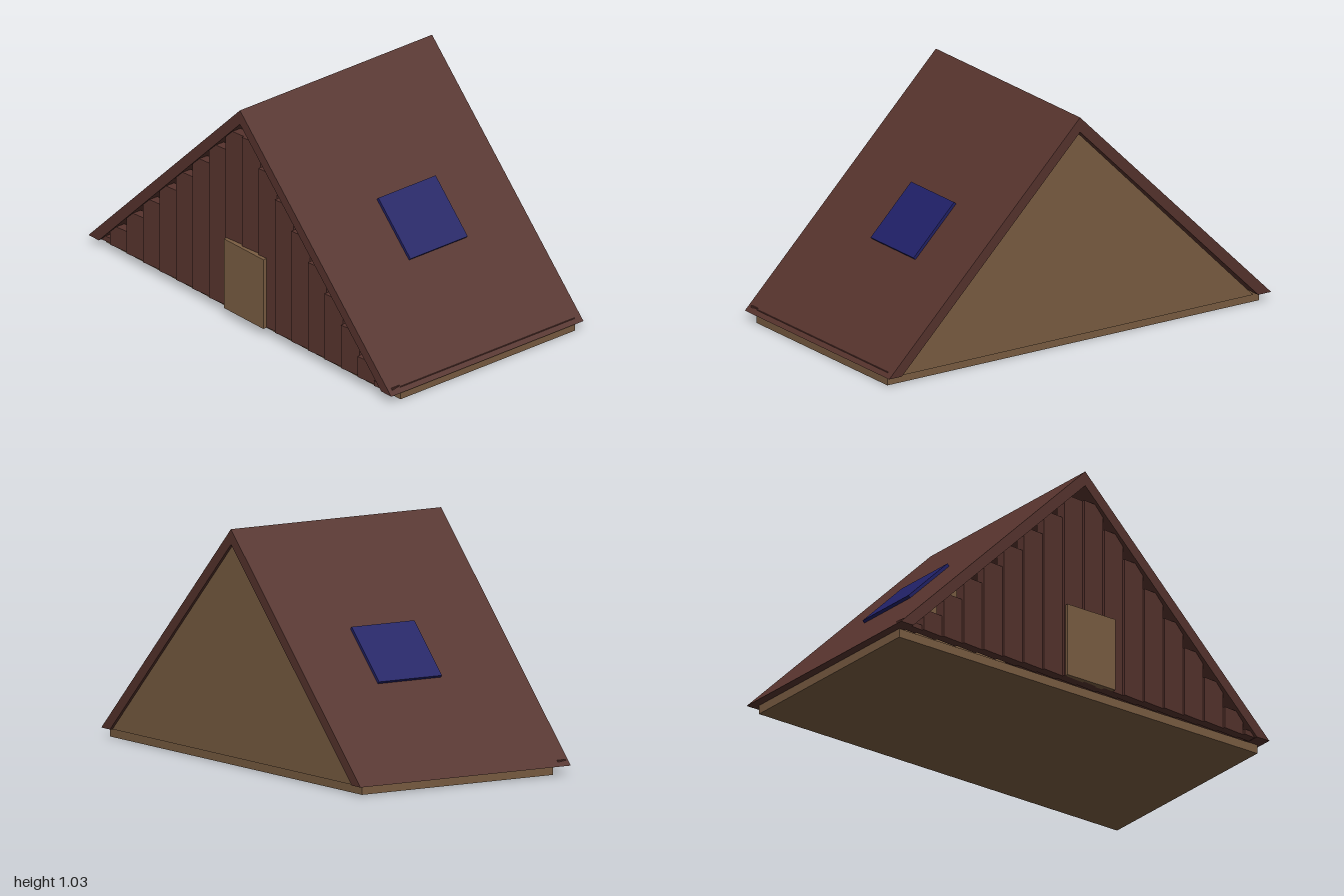
import * as THREE from 'three';

const mat = (color) => new THREE.MeshStandardMaterial({ color, flatShading: true });

export function createModel() {
  const model = new THREE.Group();
  const roofMat = mat(0x56332d);
  const woodMat = mat(0x7a5d42);
  const glassMat = mat(0x202066);

  const add = (name, geometry, material) => {
    const mesh = new THREE.Mesh(geometry, material);
    mesh.name = name;
    model.add(mesh);
    return mesh;
  };
  // box given by its minimum and maximum corners
  const box = (name, material, [x0, y0, z0], [x1, y1, z1]) => {
    const mesh = add(name, new THREE.BoxGeometry(x1 - x0, y1 - y0, z1 - z0), material);
    mesh.position.set((x0 + x1) / 2, (y0 + y1) / 2, (z0 + z1) / 2);
    return mesh;
  };
  // outline in (z, y), extruded along x from x0 to x1
  const prism = (name, material, outline, x0, x1) => {
    const shape = new THREE.Shape(outline.map(([z, y]) => new THREE.Vector2(-z, y)));
    const geometry = new THREE.ExtrudeGeometry(shape, { depth: x1 - x0, bevelEnabled: false });
    geometry.rotateY(Math.PI / 2).translate(x0, 0, 0);
    return add(name, geometry, material);
  };

  // floor slab and the trim above its front edge
  box('floor', woodMat, [-0.48, 0, -0.96], [0.51, 0.04, 0.985]);
  box('frontTrim', roofMat, [-0.48, 0.041, 0.93], [0.51, 0.06, 0.983]);

  // two roof slopes meeting at the ridge, cut level at the eaves
  prism('roof', roofMat,
    [[1, 0.04], [0, 1.035], [-1, 0.04], [-0.933, 0.04], [0, 0.968], [0.933, 0.04]],
    -0.545, 0.545);

  // plain gable wall
  prism('gableWall', woodMat, [[0.945, 0.04], [0.01, 0.968], [-0.915, 0.04]], 0.485, 0.532);

  // plank gable wall: flat-topped boards stepping up under the roof
  const pitch = 0.109;
  for (let i = -9; i < 9; i++) {
    const z = (i + 0.5) * pitch;
    const outer = Math.abs(z) + pitch / 2;
    const top = Math.max(1.012 - outer, 0.065);
    const plank = box('plank', roofMat,
      [-0.53, 0.041, z - pitch / 2], [-0.485, top, z + pitch / 2]);
    plank.rotation.y = 0.1;
  }

  // door on the plank wall
  box('door', woodMat, [-0.55, 0.041, -0.1], [-0.52, 0.376, 0.16]);

  // a skylight on each slope
  for (const side of [1, -1]) {
    const skylight = add('skylight', new THREE.BoxGeometry(0.325, 0.03, 0.3), glassMat);
    skylight.position.set(0.04, 0.518, side * 0.518);
    skylight.rotation.x = side * Math.PI / 4;
  }
  return model;
}
